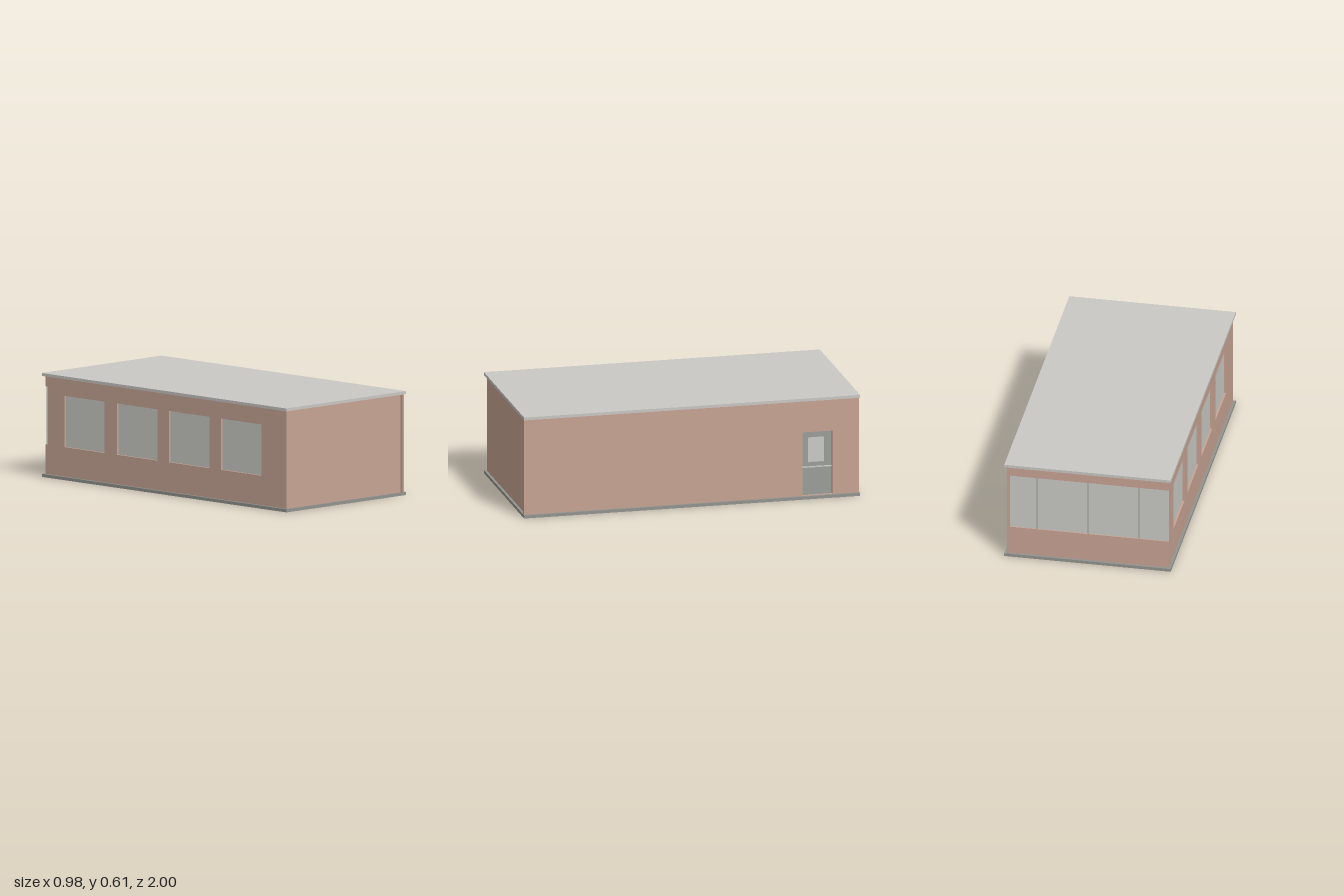
import * as THREE from 'three';

const mat = (name, color) => {
  const m = new THREE.MeshStandardMaterial({ color });
  m.name = name;
  return m;
};

export function createModel() {
  const model = new THREE.Group();
  model.name = 'building';
  const brick = mat('clay wall', 0xc8a494);
  const pale = mat('pale concrete', 0xcac8c4);
  const slabGrey = mat('slab grey', 0x93938e);
  const doorGrey = mat('door grey', 0x9c9e98);
  const glass = mat('glass', 0xcacac6);

  // Box given by its limits on each axis
  const box = (name, m, [x0, x1], [y0, y1], [z0, z1], parent = model) => {
    const mesh = new THREE.Mesh(new THREE.BoxGeometry(x1 - x0, y1 - y0, z1 - z0), m);
    mesh.position.set((x0 + x1) / 2, (y0 + y1) / 2, (z0 + z1) / 2);
    mesh.name = name;
    parent.add(mesh);
    return mesh;
  };

  const bottom = 0.018, top = 0.59, t = 0.015;

  // Long wall along z with rectangular openings [z0, z1, y0, y1]
  const rect = (path, z0, z1, y0, y1) => {
    path.moveTo(z0, y0);
    path.lineTo(z1, y0);
    path.lineTo(z1, y1);
    path.lineTo(z0, y1);
    path.closePath();
    return path;
  };
  const sideWall = (name, outerX, z0, z1, holes) => {
    const shape = rect(new THREE.Shape(), z0, z1, bottom, top);
    holes.forEach((h) => shape.holes.push(rect(new THREE.Path(), ...h)));
    const geo = new THREE.ExtrudeGeometry(shape, { depth: t, bevelEnabled: false });
    geo.rotateY(-Math.PI / 2);
    const mesh = new THREE.Mesh(geo, brick);
    mesh.position.x = outerX;
    mesh.name = name;
    model.add(mesh);
  };

  // Floor slab and flat roof
  box('floorSlab', slabGrey, [-0.49, 0.49], [0, bottom], [-1, 1]);
  box('roof', pale, [-0.49, 0.49], [top, 0.607], [-1, 1]);

  // Blank front wall
  box('frontWall', brick, [-0.475, 0.46], [bottom, top], [0.97, 0.985]);

  // Left wall with the door opening
  const dz0 = -0.84, dz1 = -0.66, dTop = 0.4;
  sideWall('leftWall', 0.475, -0.998, 0.998, [[dz0, dz1, bottom + 0.001, dTop]]);

  // Right wall with four square windows
  const windows = [-0.83, -0.4, 0.025, 0.45].map((z) => [z, z + 0.33, 0.19, 0.49]);
  sideWall('rightWall', -0.46, -0.97, 0.97, windows);
  windows.forEach(([z0, z1, y0, y1]) =>
    box('sideWindow', glass, [-0.463, -0.458], [y0 - 0.005, y1 + 0.005], [z0 - 0.005, z1 + 0.005]));

  // Back wall: sill and lintel with a window band running to the corner
  box('backSill', brick, [-0.475, 0.46], [bottom, 0.19], [-0.985, -0.97]);
  box('backLintel', brick, [-0.475, 0.46], [0.53, top], [-0.985, -0.97]);
  const joints = [-0.475, -0.3, 0, 0.3, 0.46];
  for (let i = 0; i < 4; i++) {
    box('backPane', glass, [joints[i], joints[i + 1]], [0.19, 0.53], [-0.978, -0.972]);
    if (i) box('mullion', doorGrey, [joints[i] - 0.003, joints[i] + 0.003], [0.19, 0.53], [-0.981, -0.971]);
  }

  // Door recess lining
  const door = new THREE.Group();
  door.name = 'door';
  model.add(door);
  const lining = [0.43, 0.46];
  box('jamb', brick, lining, [bottom, dTop], [dz0 - 0.01, dz0], door);
  box('jamb', brick, lining, [bottom, dTop], [dz1, dz1 + 0.01], door);
  box('doorHead', brick, lining, [dTop, dTop + 0.01], [dz0 - 0.01, dz1 + 0.01], door);

  // Solid lower panel with a pale ledge, and a framed light above
  box('lowerPanel', doorGrey, [0.43, 0.452], [bottom, 0.18], [dz0, dz1], door);
  box('ledge', pale, [0.43, 0.455], [0.18, 0.186], [dz0, dz1], door);
  const frame = [0.43, 0.447];
  box('upperRail', doorGrey, frame, [0.36, dTop], [dz0, dz1], door);
  box('middleRail', doorGrey, frame, [0.186, 0.21], [dz0, dz1], door);
  box('stile', doorGrey, frame, [0.21, 0.36], [dz0, -0.8], door);
  box('stile', doorGrey, frame, [0.21, 0.36], [-0.7, dz1], door);
  box('doorGlass', glass, [0.433, 0.44], [0.21, 0.36], [-0.8, -0.7], door);

  return model;
}
